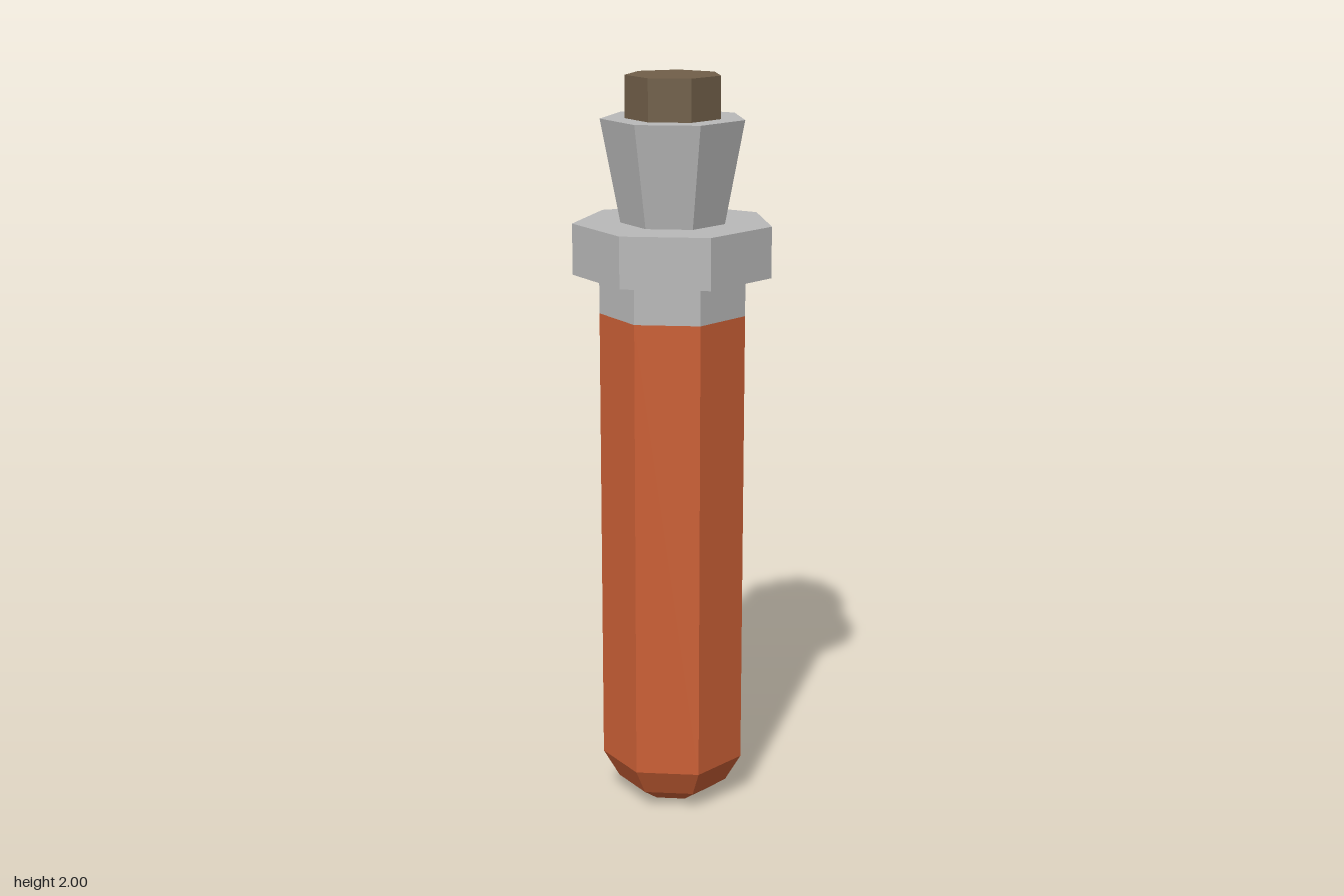
import * as THREE from 'three';

const SIDES = 7;

export function createModel() {
  const model = new THREE.Group();
  model.name = 'vial';

  const paint = (name, color) => {
    const material = new THREE.MeshStandardMaterial({ color });
    material.name = name;
    return material;
  };
  const orange = paint('orange liquid', 0xcb6036);
  const grey = paint('grey glass', 0xb9b9b9);
  const brown = paint('brown cork', 0x715f49);

  // Seven-sided faceted solid from [radius, height] pairs listed bottom to top,
  // with one corner pointing to the back
  const addPart = (name, material, profile) => {
    const points = profile.map(([r, y]) => new THREE.Vector2(r, y));
    const geometry = new THREE.LatheGeometry(points, SIDES, Math.PI).toNonIndexed();
    geometry.computeVertexNormals();
    const mesh = new THREE.Mesh(geometry, material);
    mesh.name = name;
    mesh.position.z = 0.013; // centres the heptagon's bounds
    model.add(mesh);
  };

  // Liquid-filled tube with a rounded bottom
  addPart('body', orange, [[0, 0], [0.09, 0.005], [0.153, 0.048], [0.197, 0.125], [0.197, 1.38]]);

  // Empty glass above the liquid, rim and flared mouth
  addPart('neck', grey, [[0.197, 1.38], [0.197, 1.485]]);
  addPart('rim', grey, [[0, 1.485], [0.2665, 1.485], [0.2665, 1.62], [0, 1.62]]);
  addPart('mouth', grey, [[0.14, 1.62], [0.192, 1.89], [0, 1.89]]);

  // Stopper
  addPart('cork', brown, [[0.127, 1.89], [0.127, 2], [0, 2]]);

  return model;
}
